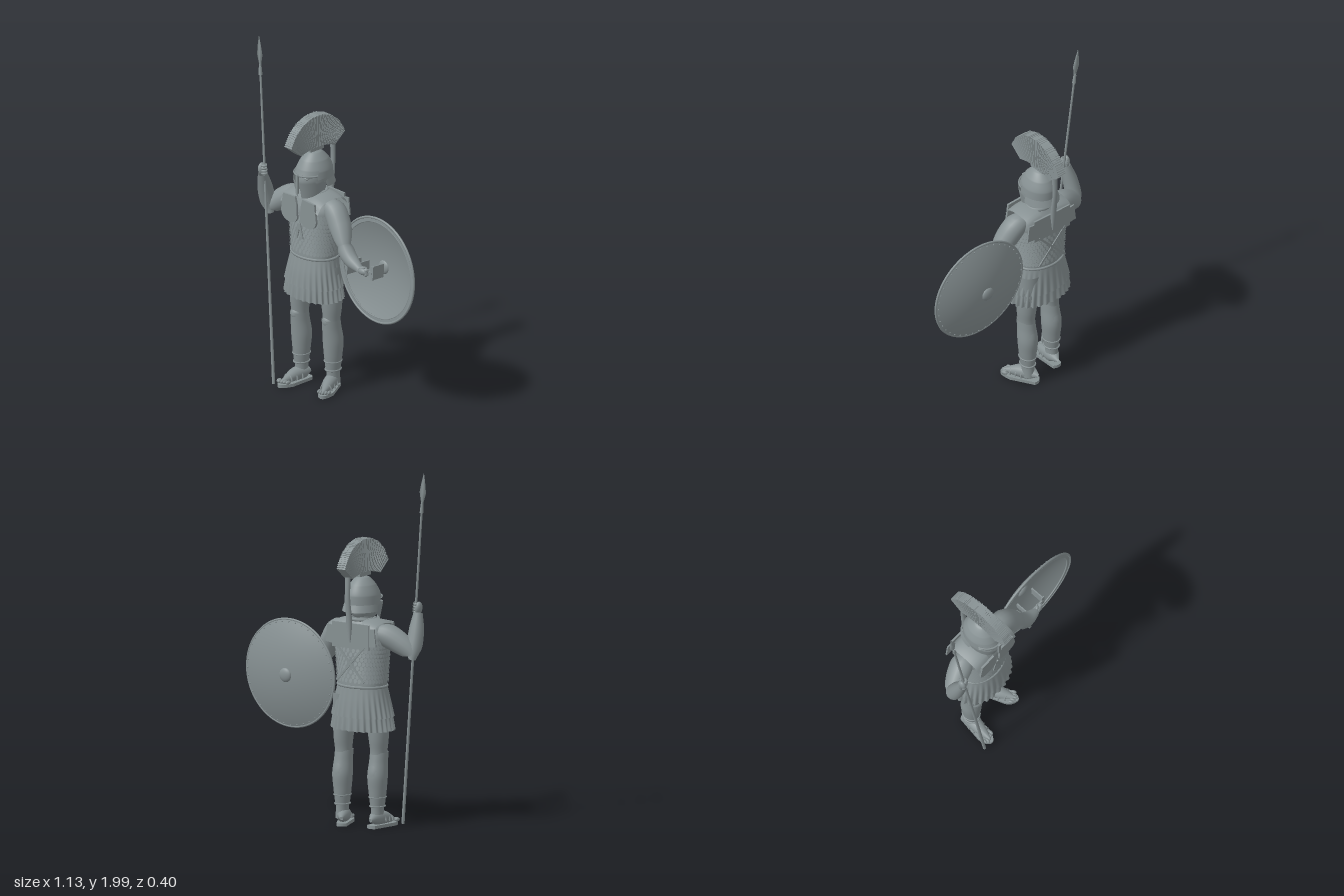
import * as THREE from 'three';
import { mergeGeometries } from 'three/addons/utils/BufferGeometryUtils.js';
import { ParametricGeometry } from 'three/addons/geometries/ParametricGeometry.js';

const grey = new THREE.MeshStandardMaterial({ color: 0x879193, side: THREE.DoubleSide });
grey.name = 'steelGrey';
const V = (x, y, z) => new THREE.Vector3(x, y, z);
const CX = -0.2; // body axis

export function createModel() {
  const root = new THREE.Group();
  root.name = 'spearman';

  const add = (name, geo, parent = root) => {
    const m = new THREE.Mesh(geo, grey);
    m.name = name;
    parent.add(m);
    return m;
  };
  const pow = (v, p) => Math.sign(v) * Math.abs(v) ** p;
  // Stack of horizontal ellipses, bottom to top: [x, y, z, rx, rz]
  const loft = (rows, { p = 1, ripple = 0, n = 28, seg = 32, from = 0, to = 2 * Math.PI } = {}) => {
    const c = new THREE.CatmullRomCurve3(rows.map(r => V(r[0], r[1], r[2])));
    const s = new THREE.CatmullRomCurve3(rows.map(r => V(r[3], r[4], 0)));
    return new ParametricGeometry((u, v, t) => {
      const a = from + u * (to - from), o = c.getPoint(v), r = s.getPoint(v);
      const k = 1 + ripple * (1 - v) * Math.cos(a * 28);
      t.set(o.x + pow(Math.sin(a), p) * r.x * k, o.y, o.z + pow(Math.cos(a), p) * r.y * k);
    }, seg, n);
  };
  // Tapered round limb along a curve
  const limb = (pts, radii, seg = 20) => {
    const curve = new THREE.CatmullRomCurve3(pts.map(q => V(...q)));
    const rc = new THREE.CatmullRomCurve3(radii.map(r => V(r, 0, 0)));
    const g = new THREE.TubeGeometry(curve, seg, 1, 16);
    const pos = g.attributes.position, q = V();
    for (let i = 0; i < pos.count; i++) {
      const u = Math.floor(i / 17) / seg, c = curve.getPointAt(u);
      q.fromBufferAttribute(pos, i).sub(c).multiplyScalar(Math.max(rc.getPoint(u).x, 0.001)).add(c);
      pos.setXYZ(i, q.x, q.y, q.z);
    }
    return g;
  };
  const ball = (x, y, z, sx, sy, sz, seg = 20) =>
    new THREE.SphereGeometry(1, seg, Math.max(6, seg * 0.7 | 0)).scale(sx, sy, sz).translate(x, y, z);
  const box = (x, y, z, w, h, d, rz = 0) => new THREE.BoxGeometry(w, h, d).rotateZ(rz).translate(x, y, z);
  const band = (x, y, z, rx, rz, t = 0.006) =>
    new THREE.TorusGeometry(1, t / rx, 6, 36).rotateX(Math.PI / 2).scale(rx, t / (t / rx), rz).translate(x, y, z);

  // Torso, neck and belt
  const torsoRows = [[CX, 0.77, 0, 0.143, 0.105], [CX, 0.88, 0, 0.148, 0.102], [CX, 0.98, 0, 0.16, 0.106],
    [CX, 1.06, 0, 0.163, 0.105], [CX, 1.12, 0, 0.14, 0.085], [CX, 1.155, 0, 0.075, 0.062]];
  add('torso', loft(torsoRows, { p: 0.85 }));
  add('neck', loft([[CX, 1.12, -0.005, 0.068, 0.062], [CX, 1.17, 0, 0.055, 0.056], [CX, 1.25, 0, 0.058, 0.058]]));
  add('belt', band(CX, 0.79, 0, 0.148, 0.112, 0.008));

  // Rows of armour scales on the torso
  const scales = [];
  for (let r = 0; r < 10; r++) {
    const y = 0.825 + r * 0.024, rx = 0.146 + 0.017 * Math.max(0, (y - 0.86) / 0.2), n = 40;
    for (let i = 0; i < n; i++) {
      const a = (i + (r % 2) / 2) / n * Math.PI * 2;
      scales.push(new THREE.CircleGeometry(0.014, 6).scale(0.75, 1, 1).rotateX(-0.22).rotateY(a)
        .translate(CX + pow(Math.sin(a), 0.85) * (rx + 0.004), y, pow(Math.cos(a), 0.85) * 0.11));
    }
  }
  add('armourScales', mergeGeometries(scales));

  // Pleated skirt in two layers
  add('lowerSkirt', loft([[CX, 0.545, 0.005, 0.186, 0.128], [CX, 0.64, 0.004, 0.172, 0.122], [CX, 0.79, 0, 0.144, 0.107]],
    { ripple: 0.045, seg: 224, n: 8, p: 0.92 }));
  add('upperSkirt', loft([[CX, 0.62, 0.004, 0.183, 0.13], [CX, 0.7, 0.003, 0.166, 0.122], [CX, 0.79, 0, 0.146, 0.109]],
    { ripple: 0.03, seg: 224, n: 8, p: 0.92, from: 0.11, to: 0.11 + 2 * Math.PI }));

  // Flat chest plates, shoulder straps and back yoke
  const plate = new THREE.Shape();
  plate.moveTo(-0.05, 0.07).lineTo(0.045, 0.075).lineTo(0.058, 0.03).lineTo(0.062, -0.05);
  plate.quadraticCurveTo(0.05, -0.085, 0, -0.085).quadraticCurveTo(-0.06, -0.08, -0.065, -0.03).lineTo(-0.05, 0.07);
  for (const s of [-1, 1]) {
    const x = CX + s * 0.075;
    const g = new THREE.ExtrudeGeometry(plate, { depth: 0.012, bevelEnabled: false, curveSegments: 8 });
    add('chestPlate', g).position.set(x, 1.065, 0.11);
    root.children.at(-1).scale.x = -s;
    const arch = new THREE.CatmullRomCurve3([V(0, 1.1, 0.118), V(0, 1.145, 0.085), V(0, 1.165, 0), V(0, 1.15, -0.08), V(0, 1.1, -0.11)]);
    add('shoulderStrap', new ParametricGeometry((u, v, t) => {
      t.copy(arch.getPoint(v));
      t.x = CX + s * (0.055 + u * 0.095);
      t.y -= u * u * 0.02;
    }, 6, 16));
    add('chestTie', box(CX + s * 0.012, 0.945, 0.115, 0.016, 0.09, 0.006, s * 0.25));
    add('backStrap', box(CX, 0.92, -0.113, 0.012, 0.27, 0.005, s * 0.75));
    add('shoulderFlap', box(CX + s * 0.14, 1.075, -0.107, 0.05, 0.1, 0.008, s * 0.12));
  }
  add('backYoke', box(CX, 1.075, -0.108, 0.25, 0.14, 0.01));
  add('collar', band(CX, 1.158, 0, 0.07, 0.065, 0.01));

  // Legs, greaves and sandals
  const soleShape = new THREE.Shape();
  soleShape.moveTo(-0.028, -0.065).quadraticCurveTo(0, -0.085, 0.028, -0.065).lineTo(0.042, 0.08);
  soleShape.quadraticCurveTo(0.025, 0.16, -0.005, 0.155).quadraticCurveTo(-0.045, 0.13, -0.042, 0.08).lineTo(-0.028, -0.065);
  for (const [x, z, turn, s] of [[-0.295, 0.02, -0.06, -1], [-0.09, -0.025, 0.45, 1]]) {
    const leg = new THREE.Group();
    leg.name = s < 0 ? 'rightLeg' : 'leftLeg';
    leg.position.set(x, 0, z);
    root.add(leg);
    add('thighAndShin', loft([[0, 0.04, -0.012, 0.034, 0.042], [0, 0.1, -0.012, 0.033, 0.04], [0, 0.2, -0.012, 0.044, 0.05],
      [0, 0.3, -0.012, 0.05, 0.058], [0, 0.4, 0, 0.045, 0.05], [0, 0.5, 0, 0.054, 0.06], [-s * 0.02, 0.74, 0, 0.075, 0.075]]), leg);
    add('greave', loft([[0, 0.115, -0.01, 0.037, 0.044], [0, 0.2, -0.01, 0.048, 0.053], [0, 0.29, -0.01, 0.055, 0.06],
      [0, 0.37, 0, 0.05, 0.056], [0, 0.42, 0.006, 0.049, 0.054]]), leg);
    add('kneeCap', ball(0, 0.41, 0.025, 0.036, 0.04, 0.036), leg);
    add('ankleBand', band(0, 0.12, -0.01, 0.039, 0.046, 0.005), leg);
    add('shinBand', band(0, 0.17, -0.01, 0.045, 0.051, 0.004), leg);
    const foot = new THREE.Group();
    foot.name = 'sandal';
    foot.rotation.y = turn;
    leg.add(foot);
    add('sole', new THREE.ExtrudeGeometry(soleShape, { depth: 0.018, bevelEnabled: false })
      .rotateX(Math.PI / 2).translate(0, 0.018, 0), foot);
    add('footBody', limb([[0, 0.045, -0.07], [0, 0.055, -0.03], [0, 0.05, 0.04], [0, 0.035, 0.1], [0, 0.027, 0.135]],
      [0.01, 0.04, 0.038, 0.026, 0.008]), foot);
    for (let i = 0; i < 5; i++)
      add('toe', ball(-0.03 + i * 0.015, 0.028, 0.132 - Math.abs(i - 1.5 - s * 0.5) * 0.007, 0.009, 0.011, 0.018, 10), foot);
    for (const [sz, r] of [[0.015, 0.042], [0.05, 0.038], [0.085, 0.032]])
      add('sandalStrap', new THREE.TorusGeometry(r, 0.005, 6, 20, Math.PI).translate(0, 0.035 - sz * 0.08, sz), foot);
  }

  // Right arm raised to the spear, left arm reaching into the shield
  add('rightUpperArm', limb([[-0.31, 1.085, 0], [-0.36, 1.08, 0.005], [-0.44, 1.035, 0.03], [-0.495, 0.985, 0.052], [-0.505, 0.95, 0.055]],
    [0.04, 0.066, 0.062, 0.05, 0.005]));
  add('rightForearm', limb([[-0.497, 0.95, 0.055], [-0.5, 0.99, 0.06], [-0.5, 1.08, 0.085], [-0.49, 1.2, 0.12]],
    [0.02, 0.046, 0.042, 0.026]));
  add('leftUpperArm', limb([[-0.1, 1.09, 0], [-0.04, 1.08, 0.002], [0.02, 1.01, 0.015], [0.07, 0.92, 0.032], [0.09, 0.88, 0.035]],
    [0.04, 0.066, 0.064, 0.05, 0.02]));
  add('leftForearm', limb([[0.055, 0.945, 0.028], [0.085, 0.9, 0.036], [0.13, 0.855, 0.04], [0.2, 0.815, 0.038]],
    [0.02, 0.046, 0.04, 0.023]));
  add('leftPalm', ball(0.22, 0.808, 0.036, 0.034, 0.02, 0.016));
  for (let i = 0; i < 4; i++)
    add('leftFinger', limb([[0.235, 0.818 - i * 0.007, 0.036], [0.25, 0.82 - i * 0.008, 0.028], [0.24, 0.815 - i * 0.007, 0.014]],
      [0.007, 0.007, 0.004], 8));
  add('leftThumb', limb([[0.2, 0.82, 0.04], [0.225, 0.83, 0.028], [0.235, 0.825, 0.015]], [0.009, 0.008, 0.004], 8));

  // Spear: shaft, leaf blade and butt, built along y and leaned into place
  const base = V(-0.355, 0, 0.163), tip = V(-0.552, 1.995, 0.09);
  const spear = new THREE.Group();
  spear.name = 'spear';
  spear.position.copy(base);
  spear.quaternion.setFromUnitVectors(V(0, 1, 0), tip.clone().sub(base).normalize());
  root.add(spear);
  add('shaft', new THREE.CylinderGeometry(0.006, 0.009, 1.83, 12).translate(0, 0.92, 0), spear);
  add('blade', new THREE.LatheGeometry([[0.007, 1.8], [0.01, 1.84], [0.022, 1.89], [0.014, 1.94], [0, 2.004]]
    .map(q => new THREE.Vector2(...q)), 4).scale(1, 1, 0.25), spear);
  add('bladeSocket', new THREE.CylinderGeometry(0.008, 0.011, 0.05, 12).translate(0, 1.8, 0), spear);
  add('rightPalm', ball(-0.016, 1.235, 0.004, 0.018, 0.036, 0.026), spear);
  for (let i = 0; i < 4; i++)
    add('rightFinger', new THREE.TorusGeometry(0.015, 0.008, 8, 16, 4.6).rotateX(Math.PI / 2).translate(0, 1.212 + i * 0.015, 0), spear);

  // Round shield with its bowl facing the body and its dome to the rear
  const shield = new THREE.Group();
  shield.name = 'shield';
  shield.position.set(0.26, 0.807, -0.038);
  shield.rotation.set(-0.03, -0.02, 0);
  root.add(shield);
  const bowl = [];
  for (let i = 0; i <= 12; i++) bowl.push(new THREE.Vector2(0.3 * i / 12, 0.062 * (1 - (i / 12) ** 2)));
  const dish = off => new THREE.LatheGeometry(bowl, 64).rotateX(-Math.PI / 2).translate(0, 0, off);
  add('shieldBack', dish(-0.004), shield);
  add('shieldInside', dish(0.002), shield);
  add('shieldRim', new THREE.TorusGeometry(0.3, 0.007, 8, 72), shield);
  add('rimBand', new THREE.RingGeometry(0.276, 0.304, 72, 1).translate(0, 0, 0.003), shield);
  add('rimLip', new THREE.TorusGeometry(0.276, 0.004, 6, 72), shield);
  add('boss', ball(-0.012, 0, -0.063, 0.04, 0.04, 0.018), shield);
  for (let i = 0; i < 40; i++) {
    const a = i / 40 * Math.PI * 2;
    add('rivet', ball(Math.cos(a) * 0.288, Math.sin(a) * 0.288, -0.01, 0.004, 0.004, 0.004, 8), shield);
  }
  add('armLoop', box(-0.132, 0, 0.055, 0.014, 0.075, 0.105), shield);
  for (const x of [-0.095, 0.022]) add('gripPost', box(x, 0, 0.017, 0.007, x > 0 ? 0.078 : 0.05, 0.086), shield);
  add('gripPlate', box(0.022, 0, 0.057, 0.02, 0.08, 0.007), shield);
  add('gripBar', box(-0.036, 0, 0.058, 0.12, 0.012, 0.01), shield);

  // Head and helmet
  add('face', ball(CX, 1.235, 0.018, 0.074, 0.1, 0.098));
  add('helmetDome', loft([[CX, 1.235, 0.004, 0.096, 0.112], [CX, 1.29, 0.002, 0.092, 0.11], [CX, 1.345, 0, 0.07, 0.086],
    [CX, 1.385, 0, 0.037, 0.045], [CX, 1.402, 0, 0.001, 0.001]], { from: 1.1, to: 2 * Math.PI - 1.1 }));
  add('helmetFront', loft([[CX, 1.272, 0.006, 0.094, 0.114], [CX, 1.3, 0.002, 0.09, 0.108], [CX, 1.345, 0, 0.07, 0.086],
    [CX, 1.385, 0, 0.037, 0.045], [CX, 1.402, 0, 0.001, 0.001]], { from: -1.15, to: 1.15, seg: 20 }));
  add('neckGuard', loft([[CX, 1.205, -0.008, 0.102, 0.116], [CX, 1.245, 0, 0.095, 0.11]], { from: 1.5, to: 2 * Math.PI - 1.5, n: 4 }));
  add('noseGuard', box(CX, 1.225, 0.132, 0.016, 0.11, 0.012));
  add('browRidge', new THREE.TorusGeometry(1, 0.05, 6, 24, 2.3).rotateX(Math.PI / 2).rotateY(-0.42 - Math.PI)
    .rotateY(Math.PI).scale(0.094, 0.12, 0.118).translate(CX, 1.275, 0.008));
  for (const s of [-1, 1]) {
    add('cheekPlate', new ParametricGeometry((u, v, t) => {
      const a = 0.16 + u * 1.5, y = 1.14 + u * u * 0.055 + v * (0.105 - u * u * 0.04);
      const k = 0.82 + 0.18 * Math.min(1, (y - 1.14) / 0.1);
      t.set(CX + s * Math.sin(a) * 0.096 * k, y, 0.01 + Math.cos(a) * 0.125 * k);
    }, 14, 8));
    add('eye', ball(CX + s * 0.036, 1.258, 0.094, 0.017, 0.008, 0.014, 12));
  }

  // Fan-shaped crest with bristles, its holder and the hanging tail
  const crest = new THREE.Group();
  crest.name = 'crest';
  crest.position.x = CX;
  root.add(crest);
  const fan = new THREE.Shape();
  fan.absarc(0, 1.394, 0.208, 0.32, Math.PI - 0.32, false);
  fan.lineTo(-0.125, 1.397).quadraticCurveTo(0, 1.447, 0.125, 1.397);
  add('crestFan', new THREE.ExtrudeGeometry(fan, { depth: 0.054, bevelEnabled: false, curveSegments: 32 })
    .translate(0, 0, -0.027).rotateY(Math.PI / 2), crest);
  const hairs = [];
  for (let i = 0; i < 46; i++) {
    const f = i / 45 * 2 - 1, a = f * 1.25, len = 0.992 + 0.008 * Math.sin(i * 7.3);
    const outer = V(0, 1.394 + Math.cos(a) * 0.211 * len, Math.sin(a) * 0.211 * len);
    const inner = V(0, 1.42 - 0.022 * f * f, f * 0.124), d = outer.clone().sub(inner);
    hairs.push(new THREE.BoxGeometry(0.059 + 0.002 * Math.sin(i * 3.1), d.length(), 0.005)
      .rotateX(Math.atan2(d.z, d.y)).translate(0, (outer.y + inner.y) / 2, (outer.z + inner.z) / 2));
  }
  add('crestBristles', mergeGeometries(hairs), crest);
  add('crestHolder', box(0, 1.41, 0, 0.042, 0.03, 0.1), crest);
  add('crestTail', limb([[0, 1.405, -0.135], [0, 1.3, -0.137], [0, 1.18, -0.126], [0, 1.04, -0.118]], [0.014, 0.012, 0.015, 0.004])
    .scale(1.2, 1, 1), crest);

  return root;
}
